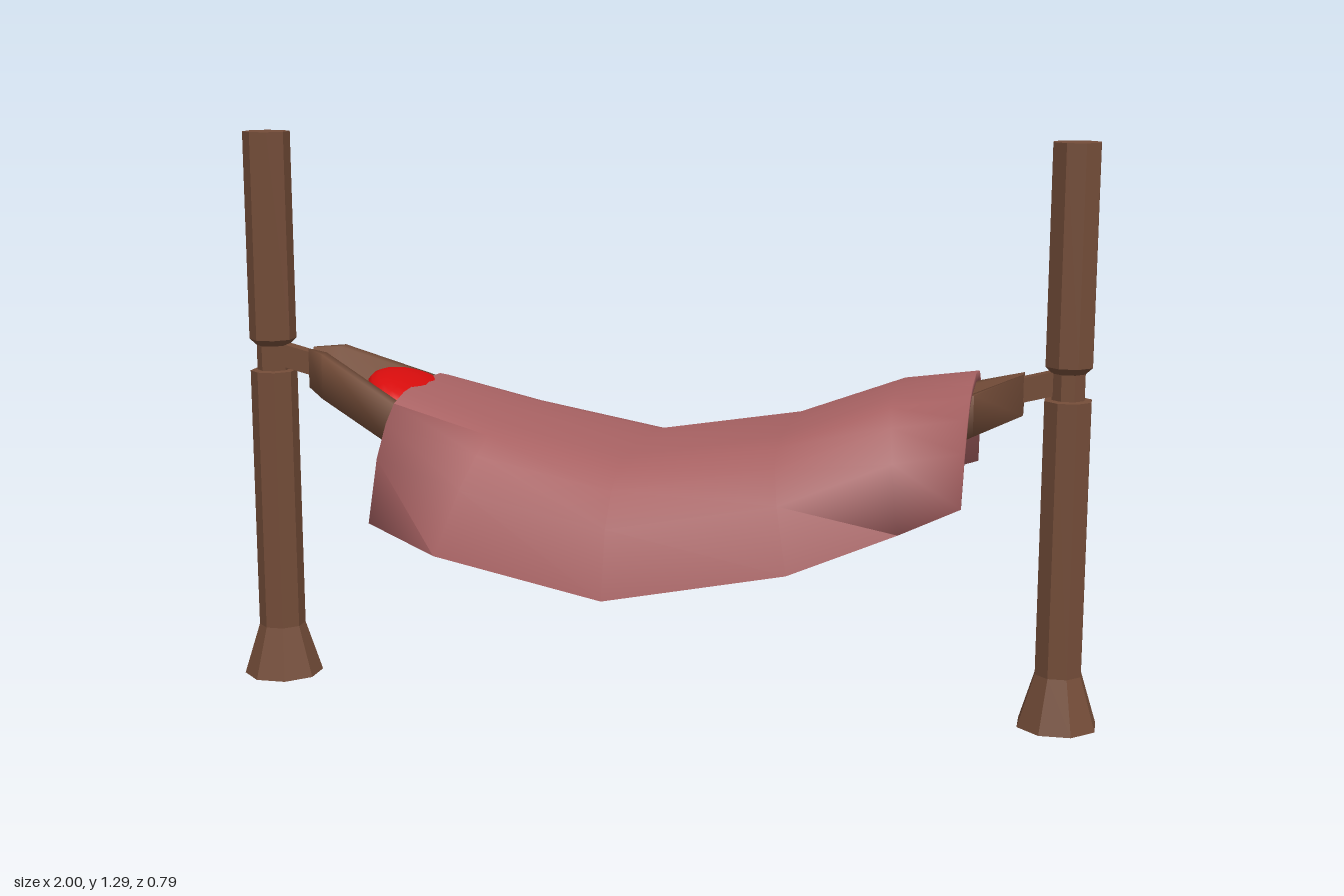
import * as THREE from 'three';
import { toCreasedNormals } from 'three/addons/utils/BufferGeometryUtils.js';

const mat = (name, color) => {
  const m = new THREE.MeshStandardMaterial({ color });
  m.name = name;
  return m;
};

// Lofts a bent strip along x. Each section has an outer and an inner line of [x, y, z] points.
function loft(sections, crease) {
  const pos = [];
  const quad = (a, b, c, d) => pos.push(...a, ...b, ...c, ...a, ...c, ...d);
  const rings = sections.map(s => [...s.outer, ...[...s.inner].reverse()]);
  for (let i = 0; i < rings.length - 1; i++) {
    const n = rings[i].length;
    for (let j = 0; j < n; j++) {
      const k = (j + 1) % n;
      quad(rings[i][j], rings[i][k], rings[i + 1][k], rings[i + 1][j]);
    }
  }
  // end caps
  const first = sections[0], last = sections[sections.length - 1];
  for (let j = 0; j < first.outer.length - 1; j++) {
    quad(first.outer[j + 1], first.outer[j], first.inner[j], first.inner[j + 1]);
    quad(last.outer[j], last.outer[j + 1], last.inner[j + 1], last.inner[j]);
  }
  const g = new THREE.BufferGeometry();
  g.setAttribute('position', new THREE.Float32BufferAttribute(pos, 3));
  return toCreasedNormals(g, crease);
}

export function createModel() {
  const root = new THREE.Group();
  root.name = 'hammockBed';
  const wood = mat('wood', 0x734c38);
  const cloth = mat('blanketRose', 0xa86263);
  const red = mat('pillowRed', 0xd60c0c);
  const add = (parent, name, geo, material) => {
    const m = new THREE.Mesh(geo, material);
    m.name = name;
    parent.add(m);
    return m;
  };

  // Octagonal posts with a flared foot and a notch for the rope
  const profile = [[0, 0], [0.092, 0], [0.054, 0.12], [0.054, 0.735], [0.038, 0.737],
    [0.038, 0.795], [0.054, 0.81], [0.054, 1.29], [0, 1.29]].map(p => new THREE.Vector2(...p));
  for (const s of [-1, 1]) {
    const side = new THREE.Group();
    side.name = s > 0 ? 'leftSupport' : 'rightSupport';
    const post = add(side, 'post', toCreasedNormals(new THREE.LatheGeometry(profile, 8), 0.1), wood);
    post.rotation.y = Math.PI / 8;
    post.position.x = s * 0.915;
    // short tie between post and sling
    const tie = add(side, 'tie', new THREE.BoxGeometry(0.11, 0.052, 0.034), wood);
    tie.position.set(s * 0.845, 0.762, 0);
    tie.rotation.z = s * 0.25;
    root.add(side);
  }

  // Sling: open tray, rows of x, half width, bottom, rim
  const tray = [
    [-0.82, 0.02, 0.7, 0.79], [-0.765, 0.08, 0.685, 0.788], [-0.56, 0.18, 0.6, 0.7],
    [-0.35, 0.22, 0.51, 0.625], [-0.03, 0.235, 0.42, 0.563], [0.35, 0.21, 0.52, 0.635],
    [0.57, 0.155, 0.6, 0.71], [0.72, 0.1, 0.665, 0.755], [0.82, 0.02, 0.7, 0.79],
  ].map(([x, w, lo, hi]) => {
    const v = w - Math.min(0.035, w * 0.45), floor = lo + 0.035;
    return {
      outer: [[x, hi, w], [x, lo, w], [x, lo, -w], [x, hi, -w]],
      inner: [[x, hi, v], [x, floor, v * 0.8], [x, floor, -v * 0.8], [x, hi, -v]],
    };
  });
  add(root, 'sling', loft(tray, 1.75), wood);

  // Blanket: draped arch, rows of x at top, x at hem, top, hem height, hem half width, fullness
  const half = [[0, 0], [0.4, 0.02], [0.6, 0.07], [0.75, 0.2], [0.9, 0.46], [1, 1]];
  const drape = [...half.slice(1).reverse().map(([z, d]) => [-z, d]), ...half];
  const arch = [
    [-0.55, -0.57, 0.725, 0.46, 0.325, 0.95], [-0.32, -0.41, 0.664, 0.405, 0.365, 1],
    [-0.03, -0.03, 0.607, 0.335, 0.395, 1], [0.31, 0.36, 0.664, 0.405, 0.365, 1],
    [0.55, 0.585, 0.756, 0.49, 0.305, 1], [0.717, 0.71, 0.787, 0.54, 0.255, 0.8],
  ].map(([xTop, xHem, top, hem, w, full]) => {
    const line = (y0, k) => drape.map(([z, d0]) => {
      const d = d0 ** full;
      return [xTop + (xHem - xTop) * d, y0 + (hem - y0) * d, z * w * k];
    });
    return { outer: line(top, 1), inner: line(top - 0.02, 0.97) };
  });
  add(root, 'blanket', loft(arch, 1.75), cloth);

  // Pillow tucked under the blanket's edge
  const pillow = add(root, 'pillow', new THREE.SphereGeometry(1, 20, 12), red);
  pillow.scale.set(0.115, 0.045, 0.145);
  pillow.position.set(-0.565, 0.686, 0);
  pillow.rotation.z = -0.42;

  return root;
}
